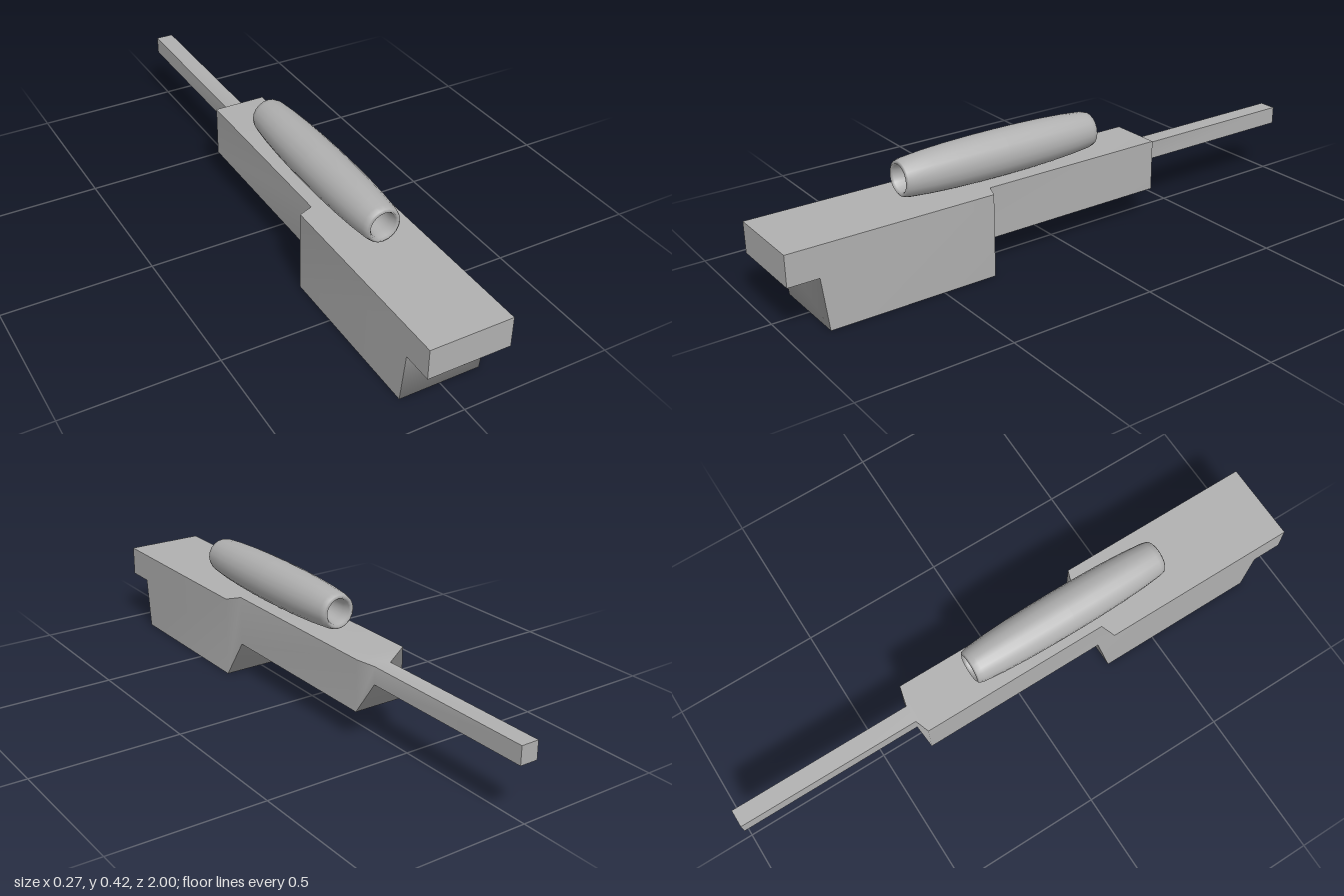
import * as THREE from 'three';

const material = new THREE.MeshStandardMaterial({ color: 0xb0b0b0 });

// Skin a row of rectangles [z, halfWidth, bottom, top], listed from front to back.
// Each side is its own strip: smooth along its length, sharp at the long edges.
function loftRects(rects) {
  const positions = [];
  const index = [];
  const corners = ([z, w, b, t]) => [[-w, b, z], [w, b, z], [w, t, z], [-w, t, z]];
  for (let side = 0; side < 4; side++) {
    const start = positions.length / 3;
    rects.forEach((rect, i) => {
      const c = corners(rect);
      positions.push(...c[side], ...c[(side + 1) % 4]);
      if (i === 0) return;
      const a = start + i * 2 - 2;
      index.push(a, a + 2, a + 3, a, a + 3, a + 1);
    });
  }
  const caps = positions.length / 3;
  positions.push(...corners(rects[0]).flat(), ...corners(rects[rects.length - 1]).flat());
  index.push(...[0, 1, 2, 0, 2, 3, 5, 4, 7, 5, 7, 6].map((i) => caps + i));

  const geometry = new THREE.BufferGeometry();
  geometry.setAttribute('position', new THREE.Float32BufferAttribute(positions, 3));
  geometry.setIndex(index);
  geometry.computeVertexNormals();
  return geometry;
}

export function createModel() {
  const group = new THREE.Group();

  // Stepped body: front overhang, deep block, slim fore section, thin square bar
  const body = new THREE.Mesh(loftRects([
    [1, 0.136, 0.174, 0.275],
    [0.9, 0.136, 0.174, 0.275],
    [0.88, 0.136, 0, 0.275],
    [0.315, 0.136, 0, 0.275],
    [0.297, 0.088, 0.105, 0.276],
    [-0.358, 0.088, 0.105, 0.277],
    [-0.372, 0.03, 0.185, 0.245],
    [-1, 0.03, 0.185, 0.245],
  ]), material);
  body.name = 'body';
  group.add(body);

  // Hollow barrel-shaped tube on top; half profile [radius, axial], mirrored
  const outer = [[0.075, 0], [0.0743, 0.09], [0.072, 0.18], [0.0675, 0.265], [0.061, 0.335], [0.056, 0.353]];
  const lip = [[0.048, 0.358]];
  const inner = [[0.0425, 0.35], [0.039, 0.325], [0.033, 0.24], [0.028, 0.12], [0.026, 0]];
  const half = [...outer, ...lip, ...inner];
  const lower = half.slice(1, -1).map(([r, z]) => [r, -z]).reverse();
  const profile = [...half, ...lower, half[0]].map(([r, z]) => new THREE.Vector2(r, z));
  const tube = new THREE.Mesh(new THREE.LatheGeometry(profile, 20), material);
  tube.name = 'topTube';
  tube.rotation.x = Math.PI / 2;
  tube.position.set(0, 0.343, 0.207);
  group.add(tube);

  return group;
}
